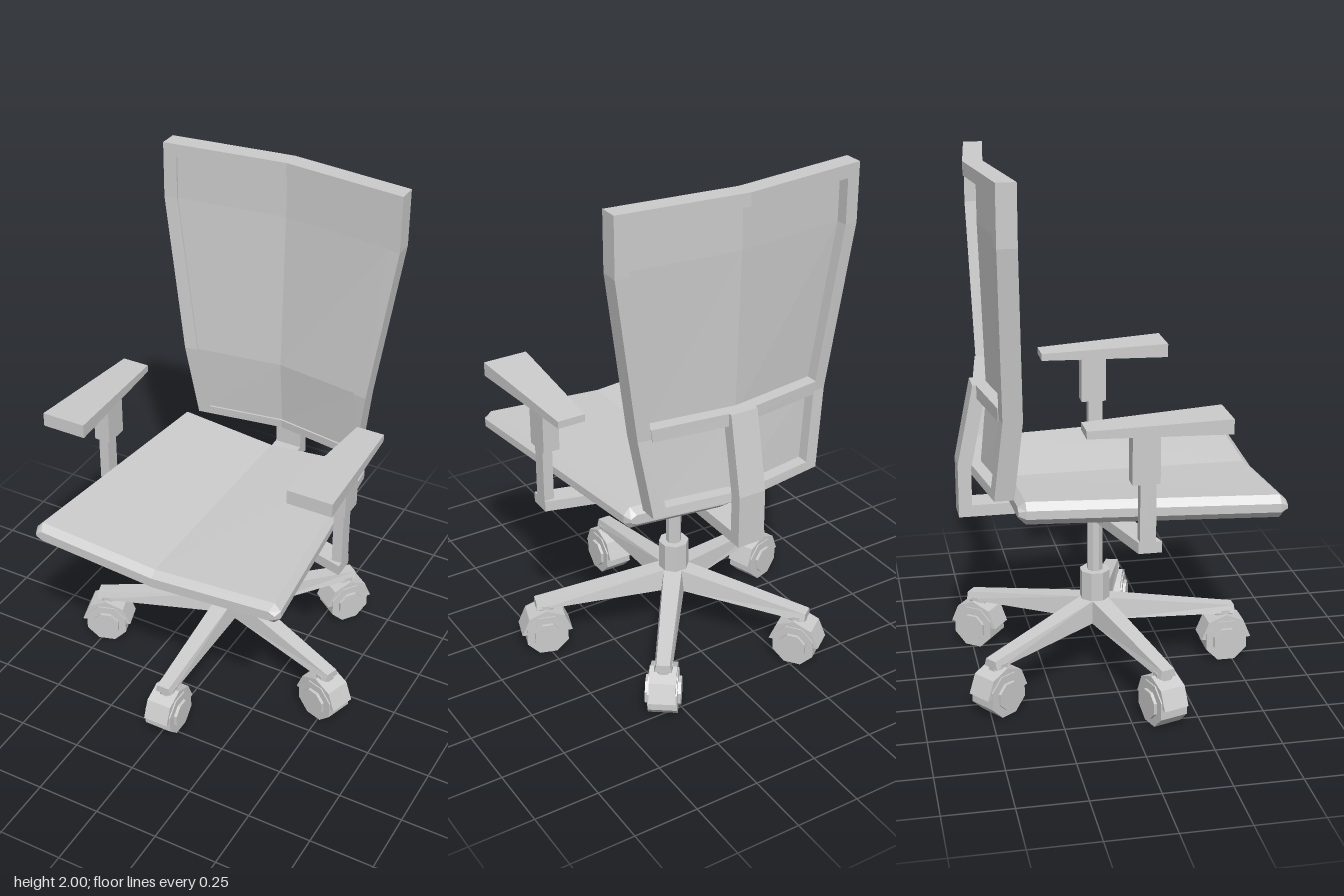
import * as THREE from 'three';

const mat = new THREE.MeshStandardMaterial({ color: 0xcccccc, flatShading: true, side: THREE.DoubleSide });

// Faceted solid through matching rings of [x, y, z]; caps fan out from each ring's first point.
function loft(rings) {
  const pos = [];
  const tri = (a, b, c) => pos.push(...a, ...b, ...c);
  const n = rings[0].length;
  for (let r = 0; r < rings.length - 1; r++) {
    for (let i = 0; i < n; i++) {
      const j = (i + 1) % n, A = rings[r], B = rings[r + 1];
      tri(A[i], A[j], B[j]);
      tri(A[i], B[j], B[i]);
    }
  }
  const first = rings[0], last = rings[rings.length - 1];
  for (let i = 1; i < n - 1; i++) {
    tri(first[0], first[i + 1], first[i]);
    tri(last[0], last[i], last[i + 1]);
  }
  // turn the solid right side out
  let vol = 0;
  const a = new THREE.Vector3(), b = new THREE.Vector3(), c = new THREE.Vector3();
  for (let i = 0; i < pos.length; i += 9) {
    vol += a.fromArray(pos, i).dot(b.fromArray(pos, i + 3).cross(c.fromArray(pos, i + 6)));
  }
  if (vol < 0) {
    for (let i = 0; i < pos.length; i += 9) {
      for (let k = 0; k < 3; k++) [pos[i + 3 + k], pos[i + 6 + k]] = [pos[i + 6 + k], pos[i + 3 + k]];
    }
  }
  const g = new THREE.BufferGeometry();
  g.setAttribute('position', new THREE.Float32BufferAttribute(pos, 3));
  g.computeVertexNormals();
  return g;
}

function add(parent, name, geometry, x = 0, y = 0, z = 0) {
  const m = new THREE.Mesh(geometry, mat);
  m.name = name;
  m.position.set(x, y, z);
  parent.add(m);
  return m;
}

const box = (x0, x1, y0, y1, z0, z1) =>
  new THREE.BoxGeometry(x1 - x0, y1 - y0, z1 - z0).translate((x0 + x1) / 2, (y0 + y1) / 2, (z0 + z1) / 2);
const rod = (r, y0, y1) =>
  new THREE.CylinderGeometry(r, r, y1 - y0, 8).rotateY(Math.PI / 8).translate(0, (y0 + y1) / 2, 0);
const axle = (r, width) =>
  new THREE.CylinderGeometry(r, r, width, 8).rotateY(Math.PI / 8).rotateZ(Math.PI / 2);

// Five-legged base with casters and gas column
function makeBase() {
  const base = new THREE.Group();
  base.name = 'base';
  base.position.z = -0.045;
  add(base, 'hub', rod(0.059, 0.22, 0.41));
  add(base, 'gasColumn', rod(0.03, 0.4, 0.65));
  add(base, 'columnCollar', rod(0.058, 0.64, 0.69));
  const section = (z, top, bottom, wTop, wBottom) =>
    [[-wTop, top, z], [wTop, top, z], [wBottom, bottom, z], [-wBottom, bottom, z]];
  for (let i = 0; i < 5; i++) {
    const leg = new THREE.Group();
    leg.name = 'leg' + (i + 1);
    leg.rotation.y = i * Math.PI * 2 / 5;
    base.add(leg);
    add(leg, 'legBeam', loft([
      section(0, 0.3, 0.215, 0.035, 0.045),
      section(0.05, 0.296, 0.21, 0.035, 0.045),
      section(0.557, 0.217, 0.187, 0.025, 0.033)]));
    add(leg, 'casterStem', rod(0.037, 0.16, 0.2), 0, 0, 0.52);
    add(leg, 'wheel', axle(0.088, 0.11), 0, 0.081, 0.52);
    add(leg, 'wheelCap', axle(0.056, 0.134), 0, 0.081, 0.52);
    add(leg, 'casterHood',
      new THREE.CylinderGeometry(0.1, 0.1, 0.1, 4, 1, false, 0, Math.PI).rotateZ(Math.PI / 2), 0, 0.088, 0.52);
  }
  return base;
}

// Bevelled seat cushion, dipping along its centre line
function seatRing(z, w, t) {
  const side = 0.807, mid = 0.77, h = 0.043 * t, s = 0.016 * t;
  return [[0, mid + h, z], [w - 0.025, side + h, z], [w, side + s, z], [w, side - s, z], [w - 0.025, side - h, z],
    [0, mid - h, z], [-w + 0.025, side - h, z], [-w, side - s, z], [-w, side + s, z], [-w + 0.025, side + h, z]];
}

// Backrest rules: half width, front surface and bow towards the rear at the centre
const lerpAt = (pts, y) => {
  let i = 0;
  while (i < pts.length - 2 && y > pts[i + 1][0]) i++;
  const [y0, v0] = pts[i], [y1, v1] = pts[i + 1];
  return v0 + (v1 - v0) * (y - y0) / (y1 - y0);
};
const halfWidth = y => lerpAt([[0.845, 0.35], [1.78, 0.485], [2, 0.485]], y);
const frontZ = y => lerpAt([[0.845, -0.4], [1.15, -0.37], [1.78, -0.39], [2, -0.39]], y);
const onBack = (x, y, depth) => [x, y, frontZ(y) - 0.055 * (1 - Math.abs(x) / halfWidth(y)) - depth];
const BORDER = 0.052;

function makeBackrest() {
  const back = new THREE.Group();
  back.name = 'backrest';
  const levels = [0.845, 1.15, 1.78, 2];
  const inner = y => halfWidth(y) - BORDER;
  for (const s of [-1, 1]) {
    add(back, s > 0 ? 'leftStile' : 'rightStile', loft(levels.map(y => [
      onBack(s * halfWidth(y), y, 0), onBack(s * inner(y), y, 0),
      onBack(s * inner(y), y, 0.072), onBack(s * halfWidth(y), y, 0.072)])));
  }
  const rail = (name, y0, y1, d0, d1) => add(back, name, loft([-1, 0, 1].map(s => [
    onBack(s * inner(y0), y0, d0), onBack(s * inner(y1), y1, d0),
    onBack(s * inner(y1), y1, d1), onBack(s * inner(y0), y0, d1)])));
  rail('topRail', 1.95, 2, 0, 0.072);
  rail('bottomRail', 0.845, 0.88, 0, 0.072);
  rail('crossRail', 1.14, 1.19, 0.02, 0.075);
  add(back, 'backPanel', loft([0.875, 1.15, 1.78, 1.96].map(y => {
    const w = inner(y) + 0.004;
    return [onBack(0, y, 0.008), onBack(w, y, 0.008), onBack(w, y, 0.026),
      onBack(0, y, 0.026), onBack(-w, y, 0.026), onBack(-w, y, 0.008)];
  })));
  return back;
}

// One armrest: swept bar under the seat, post, sleeve and tapered pad
function makeArm(s) {
  const arm = new THREE.Group();
  arm.name = s > 0 ? 'leftArm' : 'rightArm';
  const barEnd = (x, z0, z1) => [[x, 0.678, z0], [x, 0.72, z0], [x, 0.72, z1], [x, 0.678, z1]];
  add(arm, 'armBar', loft([barEnd(0, -0.13, -0.04), barEnd(s * 0.525, 0.015, 0.1)]));
  const x0 = Math.min(s * 0.485, s * 0.525);
  add(arm, 'armPost', box(x0, x0 + 0.04, 0.69, 1, 0.02, 0.078));
  const x1 = Math.min(s * 0.47, s * 0.535);
  add(arm, 'armSleeve', box(x1, x1 + 0.065, 0.94, 1.13, -0.01, 0.09));
  const padEnd = (xi, xo, y0, y1, z) => [[s * xi, y0, z], [s * xo, y0, z], [s * xo, y1, z], [s * xi, y1, z]];
  add(arm, 'armPad', loft([
    padEnd(0.45, 0.558, 1.127, 1.155, -0.175),
    padEnd(0.418, 0.593, 1.125, 1.18, 0.335)]));
  return arm;
}

export function createModel() {
  const chair = new THREE.Group();
  chair.name = 'officeChair';
  chair.add(makeBase());
  add(chair, 'seat', loft([
    seatRing(0.567, 0.497, 0.45), seatRing(0.54, 0.508, 1),
    seatRing(-0.365, 0.41, 1), seatRing(-0.392, 0.395, 0.45)]));
  chair.add(makeArm(1), makeArm(-1), makeBackrest());

  // Bent support from under the seat up to the cross rail
  const across = pts => [-0.055, 0.055].map(x => pts.map(([y, z]) => [x, y, z]));
  add(chair, 'supportBar', box(-0.055, 0.055, 0.68, 0.725, -0.57, -0.06));
  add(chair, 'supportUpright', loft(across([
    [0.87, -0.52], [1.14, -0.47], [1.19, -0.455], [1.19, -0.508], [0.885, -0.57], [0.68, -0.57], [0.68, -0.52]])));
  return chair;
}
